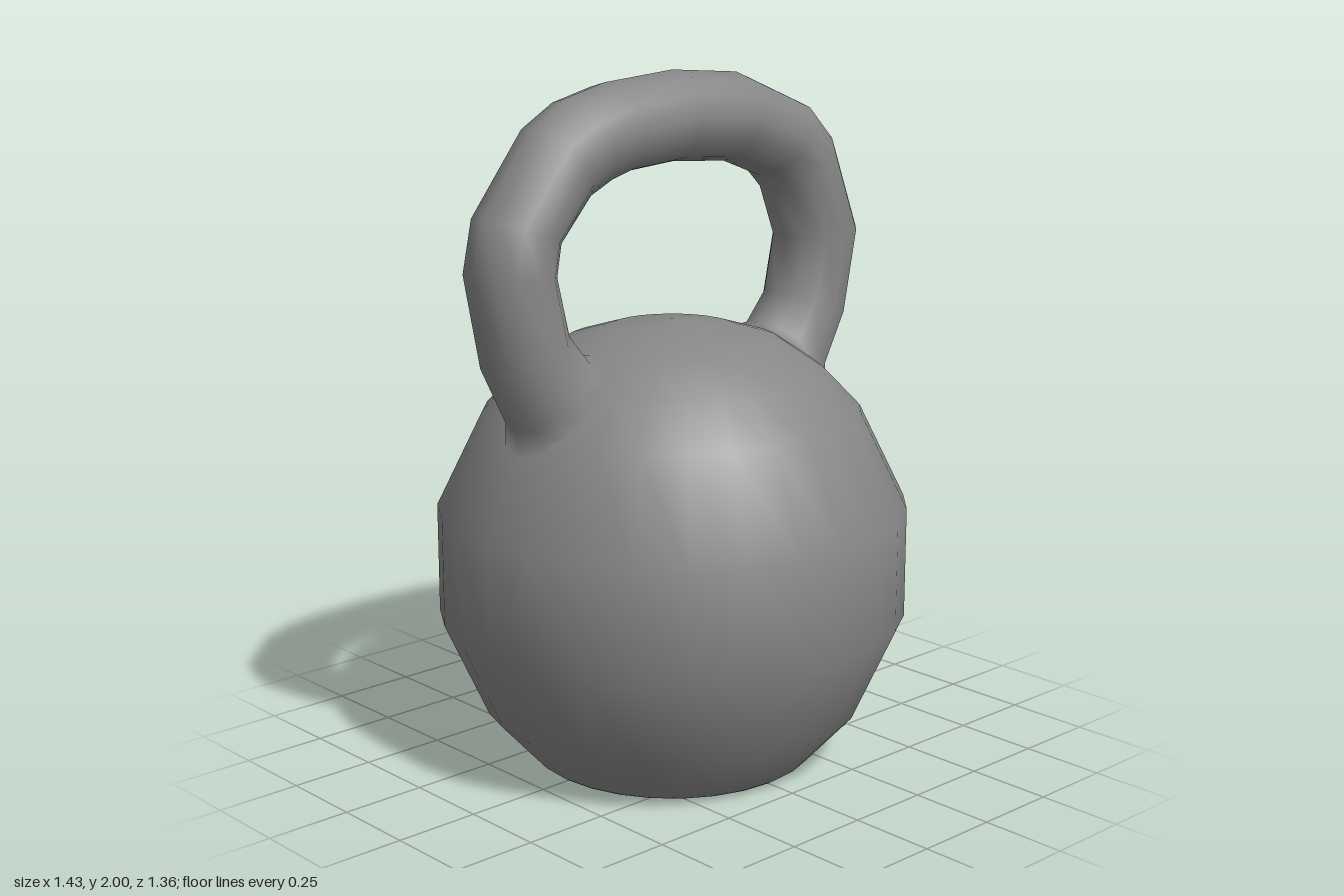
import * as THREE from 'three';

const iron = new THREE.MeshStandardMaterial({ color: 0x878787 });
const bright = new THREE.MeshStandardMaterial({ color: 0xffffff });
const SIDES = 12;
const BODY_CENTRE = new THREE.Vector3(0, 0.6, 0);

// Handle rings, left to right over the top: outer x, outer y, inner x, inner y, half depth
const RINGS = [
  [-0.57, 0.98, -0.30, 1.235, 0.155],
  [-0.575, 1.06, -0.35, 1.24, 0.13],
  [-0.66, 1.23, -0.42, 1.32, 0.127],
  [-0.713, 1.50, -0.46, 1.48, 0.127],
  [-0.68, 1.65, -0.445, 1.565, 0.127],
  [-0.50, 1.88, -0.345, 1.675, 0.127],
  [-0.39, 1.945, -0.27, 1.71, 0.127],
  [-0.25, 1.98, -0.20, 1.73, 0.127],
  [0, 2.00, 0, 1.745, 0.127],
  [0.25, 1.98, 0.20, 1.73, 0.127],
  [0.50, 1.88, 0.345, 1.675, 0.127],
  [0.60, 1.78, 0.40, 1.62, 0.127],
  [0.713, 1.50, 0.455, 1.48, 0.127],
  [0.66, 1.23, 0.42, 1.32, 0.127],
  [0.575, 1.06, 0.35, 1.24, 0.13],
  [0.57, 0.98, 0.30, 1.235, 0.155],
];

// Skin elliptical rings into one smooth tube
function ringTube(rings) {
  const positions = [], index = [];
  rings.forEach(([ox, oy, ix, iy, depth], r) => {
    for (let s = 0; s < SIDES; s++) {
      const a = (s / SIDES) * Math.PI * 2;
      const k = (1 + Math.cos(a)) / 2;
      positions.push(ix + (ox - ix) * k, iy + (oy - iy) * k, Math.sin(a) * depth);
      if (r === rings.length - 1) continue;
      const p = r * SIDES + s, q = r * SIDES + (s + 1) % SIDES;
      index.push(p, q, p + SIDES, q, q + SIDES, p + SIDES);
    }
  });
  const geometry = new THREE.BufferGeometry();
  geometry.setAttribute('position', new THREE.Float32BufferAttribute(positions, 3));
  geometry.setIndex(index);
  geometry.computeVertexNormals();
  return geometry;
}

// Turn the normals of the two end rings to the weight's own, so the joint shades smoothly
function blendEnds(geometry) {
  const { position, normal } = geometry.attributes;
  const n = new THREE.Vector3();
  for (let s = 0; s < SIDES; s++) {
    for (const i of [s, position.count - 1 - s]) {
      n.fromBufferAttribute(position, i).sub(BODY_CENTRE).normalize();
      normal.setXYZ(i, n.x, n.y, n.z);
    }
  }
  return geometry;
}

export function createModel() {
  const group = new THREE.Group();
  const add = (name, geometry, material = iron) => {
    const mesh = new THREE.Mesh(geometry, material);
    mesh.name = name;
    group.add(mesh);
  };

  // Round weight
  const profile = [
    [0.42, 0.01], [0.555, 0.16], [0.68, 0.44], [0.68, 0.76], [0.545, 1.035],
    [0.435, 1.15], [0.31, 1.235], [0.18, 1.275], [0.01, 1.295], [0, 1.295],
  ].map(([x, y]) => new THREE.Vector2(x, y));
  add('body', new THREE.LatheGeometry(profile, 28));

  // Flat foot with a narrow bevel and a tiny centre spot
  const bevel = [new THREE.Vector2(0.405, 0), new THREE.Vector2(0.42, 0.01)];
  add('baseBevel', new THREE.LatheGeometry(bevel, 28));
  add('base', new THREE.RingGeometry(0.028, 0.405, 28).rotateX(Math.PI / 2));
  add('baseSpot', new THREE.CircleGeometry(0.03, 8).rotateX(Math.PI / 2).translate(0, 0.002, 0), bright);

  // Grip, flaring where it meets the weight
  add('handle', blendEnds(ringTube(RINGS)));

  return group;
}
